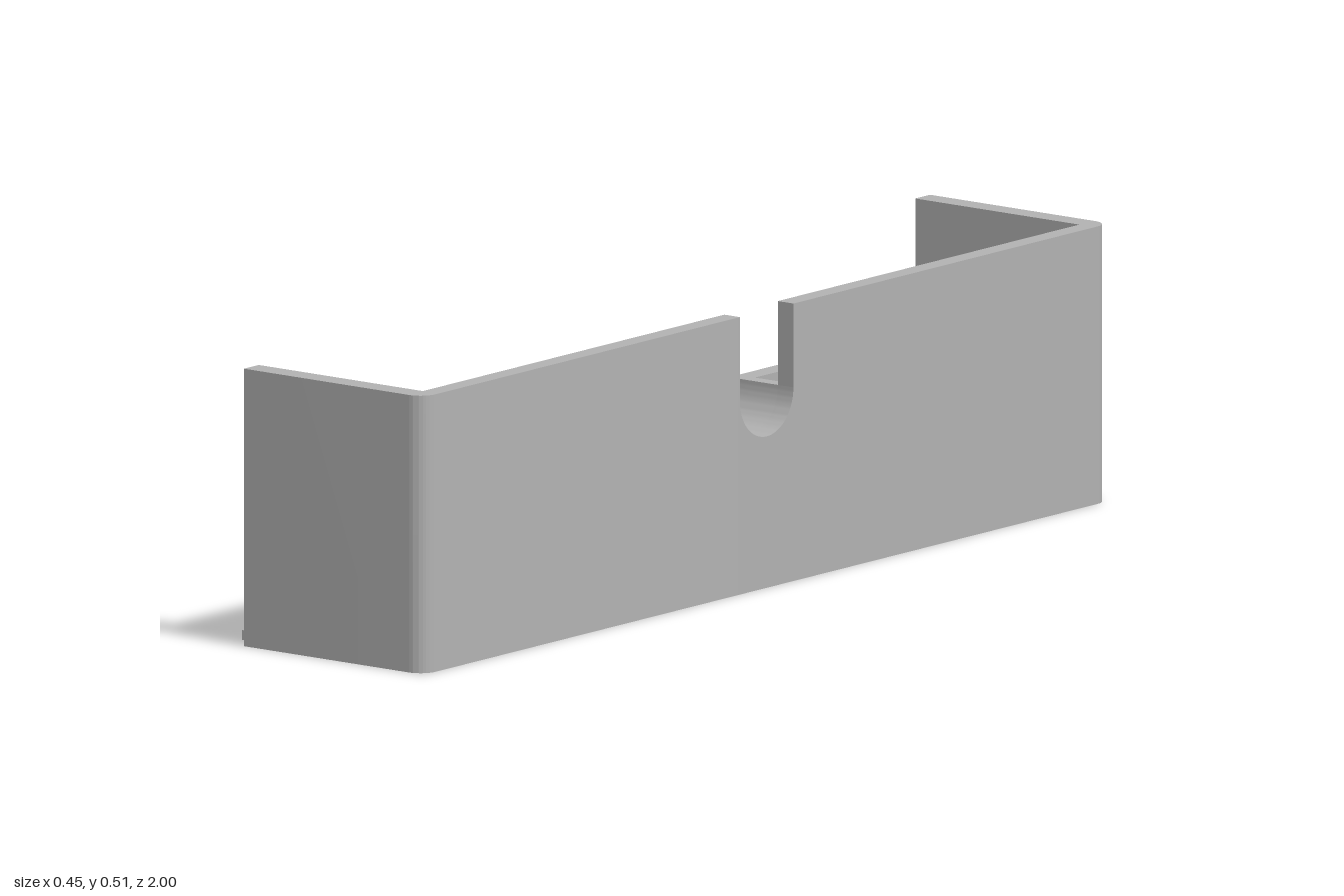
import * as THREE from 'three';
import { toCreasedNormals } from 'three/addons/utils/BufferGeometryUtils.js';

const LEFT = 0.226, RIGHT = -0.189;       // outer faces of the box in x
const IN_LEFT = 0.19, IN_RIGHT = -0.15;   // inner faces in x
const IN_Z = 0.957, HEIGHT = 0.513, FLOOR = 0.04;
const NOTCH_R = 0.078, NOTCH_Y = 0.358;   // cable notch radius and arc centre

export function createModel() {
  const model = new THREE.Group();
  model.name = 'halfEnclosure';
  const grey = new THREE.MeshStandardMaterial({ color: 0xb2b2b2 });
  grey.name = 'grey plastic';

  const add = (name, geometry) => {
    const mesh = new THREE.Mesh(geometry, grey);
    mesh.name = name;
    model.add(mesh);
  };
  const box = (name, x0, x1, y0, y1, z0, z1) => {
    const g = new THREE.BoxGeometry(x1 - x0, y1 - y0, z1 - z0);
    add(name, g.translate((x0 + x1) / 2, (y0 + y1) / 2, (z0 + z1) / 2));
  };
  const extrude = (shape, depth) => toCreasedNormals(
    new THREE.ExtrudeGeometry(shape, { depth, bevelEnabled: false, curveSegments: 24 }), 0.6);

  // Floor and the low side wall
  box('floor', IN_RIGHT, IN_LEFT, 0, FLOOR, -IN_Z, IN_Z);
  box('lowWall', RIGHT, IN_RIGHT, 0, 0.27, -IN_Z, IN_Z);

  // Stepped joining lip outside the low wall
  box('lip', -0.228, RIGHT, 0, 0.018, -1, IN_Z);
  box('lipStep', -0.203, RIGHT, 0.018, 0.048, -1, IN_Z);

  for (const s of [1, -1]) {
    // L-shaped tall wall with a rounded outer corner
    const r = 0.034;
    const plan = new THREE.Shape();
    plan.moveTo(LEFT, -s * NOTCH_R);
    plan.lineTo(LEFT, -s * (1 - r));
    plan.absarc(LEFT - r, -s * (1 - r), r, 0, -s * Math.PI / 2, s > 0);
    plan.lineTo(RIGHT, -s);
    plan.lineTo(RIGHT, -s * IN_Z);
    plan.lineTo(IN_LEFT, -s * IN_Z);
    plan.lineTo(IN_LEFT, -s * NOTCH_R);
    plan.closePath();
    add(s > 0 ? 'frontTallWall' : 'backTallWall', extrude(plan, HEIGHT).rotateX(-Math.PI / 2));

    // Screw post with a bore
    const ring = new THREE.Shape().absarc(0, 0, 0.058, 0, Math.PI * 2);
    ring.holes.push(new THREE.Path().absarc(0, 0, 0.025, 0, Math.PI * 2, true));
    add(s > 0 ? 'frontScrewPost' : 'backScrewPost',
      extrude(ring, 0.47 - FLOOR).rotateX(-Math.PI / 2).translate(0.13, FLOOR, s * 0.89));
  }

  // Block with a half-round saddle on top, running along x
  const saddle = (name, halfWidth, y0, x0, x1) => {
    const p = new THREE.Shape();
    p.moveTo(-halfWidth, y0);
    p.lineTo(halfWidth, y0);
    p.lineTo(halfWidth, NOTCH_Y);
    p.absarc(0, NOTCH_Y, NOTCH_R, 0, -Math.PI, true);
    if (halfWidth > NOTCH_R) p.lineTo(-halfWidth, NOTCH_Y);
    p.closePath();
    add(name, extrude(p, x1 - x0).rotateY(Math.PI / 2).translate(x0, 0, 0));
  };
  saddle('notchWall', NOTCH_R, 0, IN_LEFT, LEFT);
  saddle('cableSupport', 0.104, FLOOR, 0.1, IN_LEFT);

  return model;
}
